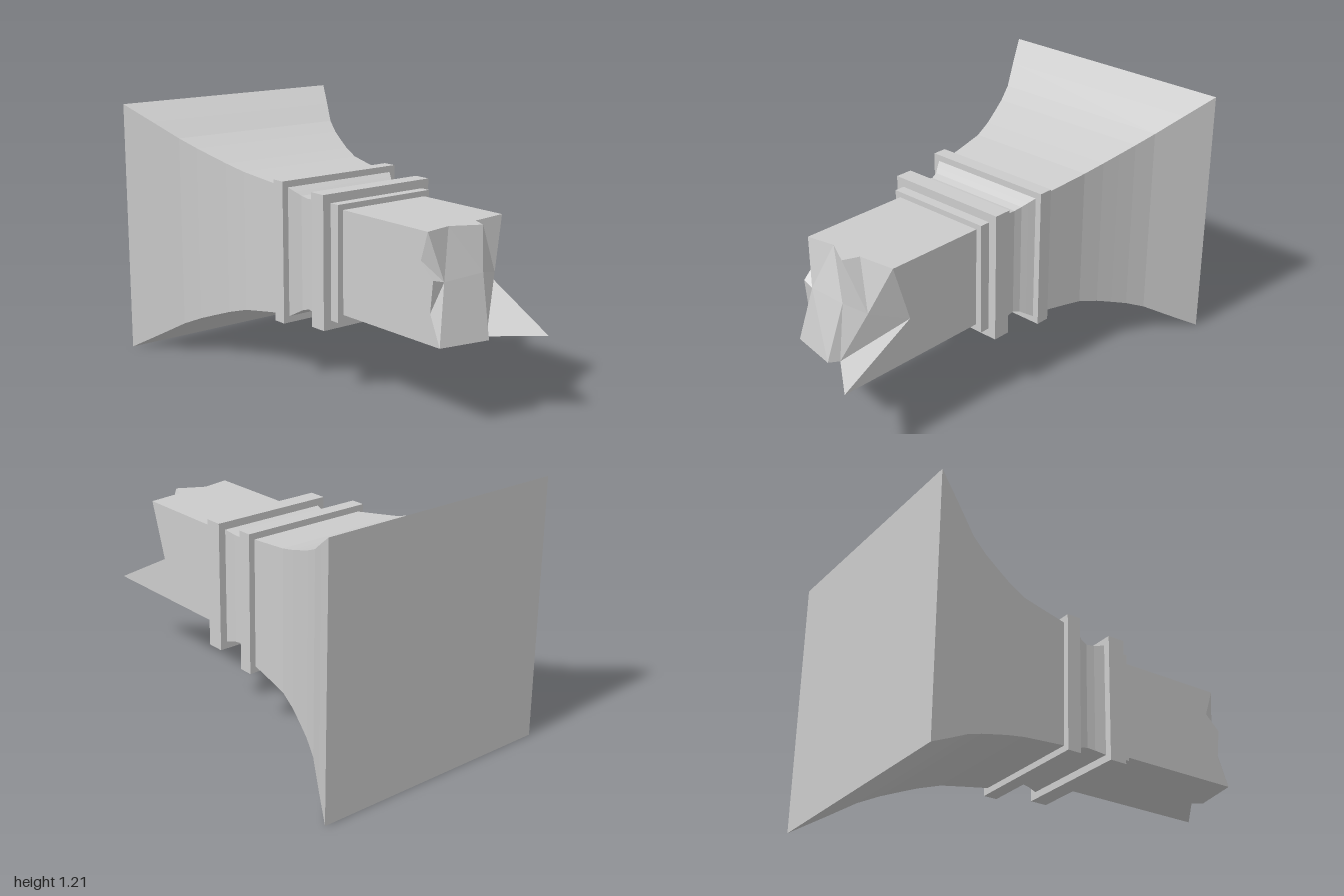
import * as THREE from 'three';

const CENTRE_Y = 0.607;
const material = new THREE.MeshStandardMaterial({ color: 0xcccccc, flatShading: true });

// Square-section solid along x, swept from [x, half width] pairs and closed at both ends
function squareLoft(name, profile) {
  const points = [[profile[0][0], 0], ...profile, [profile[profile.length - 1][0], 0]]
    .map(([x, half]) => new THREE.Vector2(half * Math.SQRT2, x));
  const geometry = new THREE.LatheGeometry(points, 4, Math.PI / 4);
  geometry.rotateZ(-Math.PI / 2);
  const mesh = new THREE.Mesh(geometry, material);
  mesh.name = name;
  mesh.position.y = CENTRE_Y;
  return mesh;
}

const band = (name, x0, x1, half) => squareLoft(name, [[x0, half], [x1, half]]);

// Square shaft whose far end is snapped off in jagged facets
function brokenShaft(startX) {
  const top = 0.847, bottom = 0.373, side = 0.237;
  // Broken rim, going round from the top front corner
  const rim = [
    [0.76, top, side], [0.735, top, 0.1], [0.805, top, -0.03], [0.73, top, -0.06],
    [0.71, top, -side], [0.62, 0.575, -side], [1, bottom, -side], [0.84, bottom, -0.03],
    [0.885, bottom, 0], [0.84, bottom, side], [0.78, 0.508, side], [0.795, 0.65, side],
    [0.72, 0.72, side],
  ];
  // Peaks inside the break
  const inner = [[0.80, 0.635, 0.18], [0.812, 0.645, -0.03], [0.77, 0.62, -0.14]];
  const v = [...rim, ...inner];
  const A = 13, B = 14, C = 15;
  const facets = [
    [5, 6, 7], [7, C, 5], [C, 4, 5], [3, 4, C], [2, 3, C], [2, C, B], [B, C, 7],
    [B, 7, 8], [B, 8, A], [A, 8, 9], [A, 9, 10], [A, 10, 11], [A, 11, 12],
    [A, 12, 0], [A, 0, 1], [A, 1, B], [1, 2, B],
  ];
  const positions = [];
  facets.forEach(([a, b, c]) => positions.push(...v[a], ...v[c], ...v[b]));
  // Shaft walls, from the collar out to the rim
  rim.forEach((p, i) => {
    const q = rim[(i + 1) % rim.length];
    const p0 = [startX, p[1], p[2]], q0 = [startX, q[1], q[2]];
    positions.push(...p, ...q, ...q0, ...p, ...q0, ...p0);
  });
  const geometry = new THREE.BufferGeometry();
  geometry.setAttribute('position', new THREE.Float32BufferAttribute(positions, 3));
  geometry.computeVertexNormals();
  const mesh = new THREE.Mesh(geometry, material);
  mesh.name = 'brokenShaft';
  return mesh;
}

export function createModel() {
  const group = new THREE.Group();
  group.name = 'brokenColumn';
  group.add(
    squareLoft('flaredBase', [
      [-1, 0.607], [-0.87, 0.53], [-0.75, 0.457], [-0.66, 0.417], [-0.58, 0.388],
      [-0.5, 0.36], [-0.4, 0.332], [-0.3, 0.318], [-0.165, 0.3],
    ]),
    band('lowerBand', -0.168, -0.1, 0.33),
    squareLoft('neck', [
      [-0.1, 0.3], [-0.07, 0.282], [-0.045, 0.266], [-0.01, 0.256], [0.03, 0.26], [0.08, 0.272],
    ]),
    band('upperBand', 0.08, 0.165, 0.307),
    band('collar', 0.165, 0.215, 0.266),
    brokenShaft(0.215),
  );
  return group;
}
